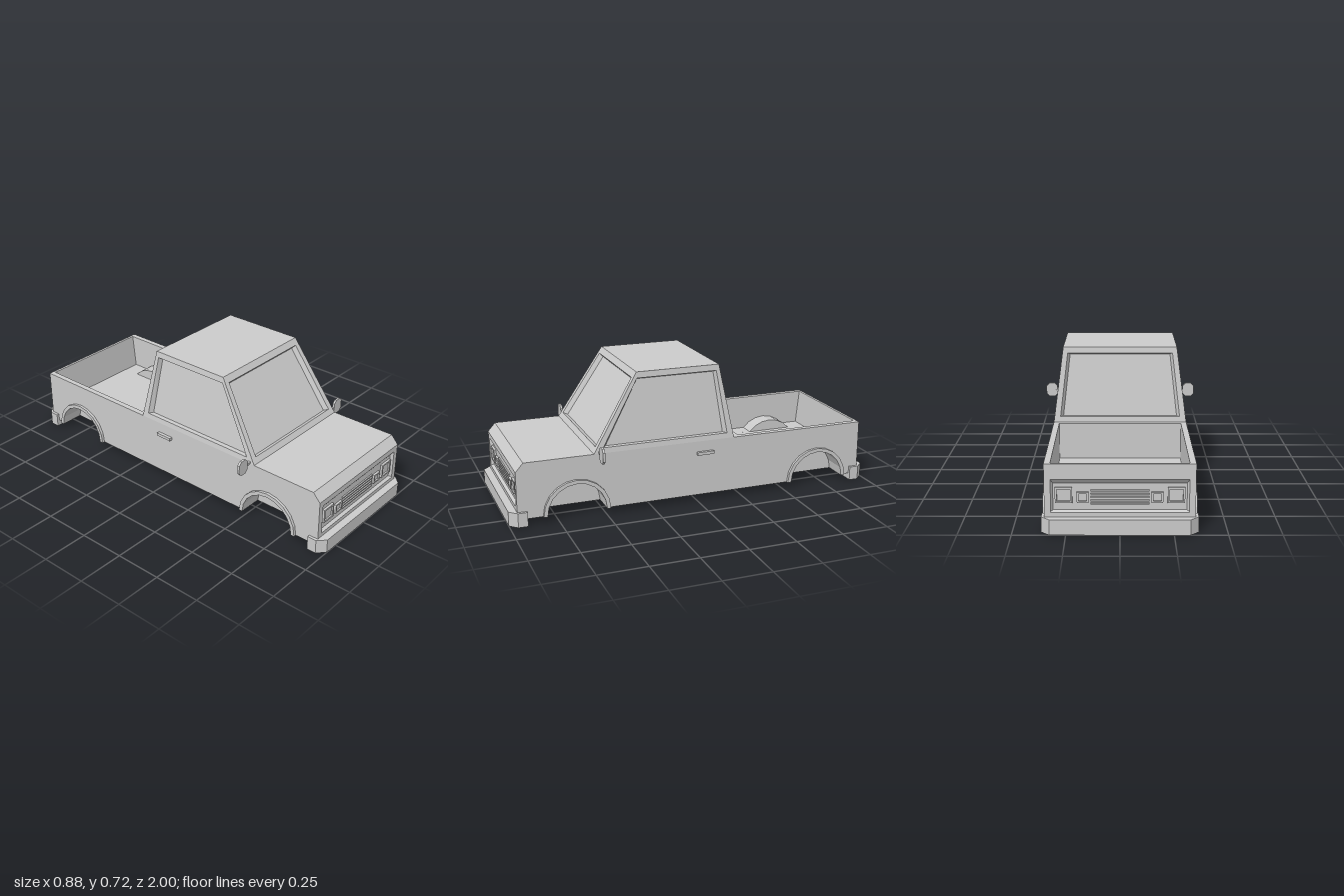
import * as THREE from 'three';

const material = new THREE.MeshStandardMaterial({ color: 0xcccccc, flatShading: true, side: THREE.DoubleSide });
const SILL = 0.035, FRONT_AXLE = 0.655, REAR_AXLE = -0.7, ARCH = 0.155;

function add(parent, name, geometry, x = 0, y = 0, z = 0) {
  const mesh = new THREE.Mesh(geometry, material);
  mesh.name = name;
  mesh.position.set(x, y, z);
  parent.add(mesh);
  return mesh;
}

// Extrude a [z, y] outline along x, from x0 to x1
function extrudeX(points, x0, x1) {
  const shape = new THREE.Shape(points.map(([z, y]) => new THREE.Vector2(-z, y)));
  return new THREE.ExtrudeGeometry(shape, { depth: x1 - x0, bevelEnabled: false })
    .rotateY(Math.PI / 2).translate(x0, 0, 0);
}

// Points of an arc about an axle, as [z, y]
function arc(centre, radius, from, to, steps = 10) {
  return Array.from({ length: steps + 1 }, (_, i) => {
    const a = from + (to - from) * i / steps;
    return [centre + radius * Math.cos(a), SILL + radius * Math.sin(a)];
  });
}

// Side profile of the body, optionally with wheel arches, bed, bed humps and end panel recesses
function bodyProfile({ arches, bed, hump, recess }) {
  const p = [[0.96, SILL]];
  if (arches) p.push(...arc(FRONT_AXLE, ARCH, 0, Math.PI), ...arc(REAR_AXLE, ARCH, 0, Math.PI));
  p.push([-0.96, SILL]);
  const notch = [[0.96, 0.095], [0.945, 0.105], [0.945, 0.235], [0.96, 0.255]];
  if (recess) p.push(...notch.map(([z, y]) => [-z, y]));
  p.push([-0.96, 0.33]);
  if (bed) {
    p.push([-0.945, 0.33], [-0.925, 0.14]);
    if (hump) p.push(...arc(REAR_AXLE, 0.165, Math.PI - 0.69, 0.69, 6));
    p.push([-0.24, 0.14], [-0.24, 0.33]);
  }
  p.push([0.92, 0.33], [0.96, 0.285]);
  if (recess) p.push(...notch.reverse());
  return p;
}

// Four-cornered cab face (bl, br, tr, tl from outside) with a sunken window
function windowFace(corners) {
  const [bl, br, tr, tl] = corners.map(c => new THREE.Vector3(...c));
  const normal = br.clone().sub(bl).cross(tl.clone().sub(bl)).normalize();
  const ring = (u, v0, v1, depth) => [[u, v0], [1 - u, v0], [1 - u, v1], [u, v1]].map(([s, t]) =>
    bl.clone().lerp(br, s).lerp(tl.clone().lerp(tr, s), t).addScaledVector(normal, -depth));
  const rings = [ring(0, 0, 1, 0), ring(0.045, 0.07, 0.92, 0), ring(0.066, 0.08, 0.905, 0.024)];
  const pos = [];
  const quad = (a, b, c, d) => [a, b, c, a, c, d].forEach(p => pos.push(p.x, p.y, p.z));
  for (let r = 0; r < 2; r++) {
    for (let i = 0; i < 4; i++) {
      const j = (i + 1) % 4;
      quad(rings[r][i], rings[r][j], rings[r + 1][j], rings[r + 1][i]);
    }
  }
  quad(...rings[2]);
  const g = new THREE.BufferGeometry();
  g.setAttribute('position', new THREE.Float32BufferAttribute(pos, 3));
  g.computeVertexNormals();
  return g;
}

// Square lamp: a raised rim around a sunken lens
function addLamp(parent, name, x, y, w, h, rim) {
  const rect = (Type, a, b) => new Type([[-a, -b], [a, -b], [a, b], [-a, b]].map(q => new THREE.Vector2(...q)));
  const shape = rect(THREE.Shape, w / 2, h / 2);
  shape.holes.push(rect(THREE.Path, w / 2 - rim, h / 2 - rim));
  add(parent, name + 'Rim', new THREE.ExtrudeGeometry(shape, { depth: 0.012, bevelEnabled: false }), x, y, 0.945);
  add(parent, name + 'Lens', new THREE.BoxGeometry(w - 2 * rim, h - 2 * rim, 0.004), x, y, 0.947);
}

// Lamps, slats and bumper, shared by the nose and the tail
function createEnd(name) {
  const end = new THREE.Group();
  end.name = name;
  for (const s of [-1, 1]) {
    addLamp(end, 'largeLamp', s * 0.26, 0.178, 0.08, 0.075, 0.009);
    addLamp(end, 'smallLamp', s * 0.172, 0.167, 0.054, 0.05, 0.008);
    const wedge = new THREE.Shape([[0, 0], [-s * 0.01, 0], [0, 0.015]].map(q => new THREE.Vector2(...q)));
    const bevel = new THREE.ExtrudeGeometry(wedge, { depth: 0.145, bevelEnabled: false })
      .rotateX(Math.PI / 2).scale(1, 1, 1);
    add(end, 'panelBevel', bevel, s * 0.32, 0.247, 0.945);
  }
  for (let i = 0; i < 5; i++) {
    add(end, 'grilleSlat', new THREE.BoxGeometry(0.27, 0.007, 0.008), 0, 0.135 + i * 0.016, 0.948);
  }
  const outline = [[-0.365, 0.91], [0.365, 0.91], [0.365, 0.96], [0.325, 1], [-0.325, 1], [-0.365, 0.96]];
  const bumper = new THREE.ExtrudeGeometry(
    new THREE.Shape(outline.map(([x, z]) => new THREE.Vector2(x, -z))), { depth: 0.075, bevelEnabled: false });
  add(end, 'bumper', bumper.rotateX(-Math.PI / 2));
  return end;
}

export function createModel() {
  const truck = new THREE.Group();
  truck.name = 'pickupTruck';

  // Lower body in slabs: centre, wheel wells, outer side walls
  const body = new THREE.Group();
  body.name = 'body';
  truck.add(body);
  add(body, 'bodyCentre', extrudeX(bodyProfile({ bed: true, recess: true }), -0.235, 0.235));
  for (const s of [-1, 1]) {
    const slab = (name, points, a, b) =>
      add(body, name, extrudeX(points, Math.min(s * a, s * b), Math.max(s * a, s * b)));
    slab('wheelWell', bodyProfile({ arches: true, bed: true, hump: true, recess: true }), 0.235, 0.32);
    slab('sideWall', bodyProfile({ arches: true }), 0.32, 0.35);
    slab('wellEnd', arc(REAR_AXLE, 0.165, 0.69, Math.PI - 0.69, 6), 0.23, 0.236);
    for (const axle of [FRONT_AXLE, REAR_AXLE]) {
      slab('archFlare', [...arc(axle, 0.175, 0, Math.PI), ...arc(axle, ARCH, Math.PI, 0)], 0.348, 0.365);
    }
    slab('doorHandle', [[0.005, 0.258], [0.005, 0.274], [-0.087, 0.274], [-0.087, 0.258]], 0.348, 0.367);
  }

  // Cab: four window faces and the roof
  const cab = new THREE.Group();
  cab.name = 'cab';
  truck.add(cab);
  const bfl = [0.35, 0.33, 0.56], bfr = [-0.35, 0.33, 0.56], brl = [0.35, 0.33, -0.205], brr = [-0.35, 0.33, -0.205];
  const tfl = [0.3, 0.72, 0.315], tfr = [-0.3, 0.72, 0.315], trl = [0.3, 0.72, -0.135], trr = [-0.3, 0.72, -0.135];
  add(cab, 'windshield', windowFace([bfr, bfl, tfl, tfr]));
  add(cab, 'rearWindow', windowFace([brl, brr, trr, trl]));
  add(cab, 'leftWindow', windowFace([bfl, brl, trl, tfl]));
  add(cab, 'rightWindow', windowFace([brr, bfr, tfr, trr]));
  add(cab, 'roof', new THREE.PlaneGeometry(0.6, 0.45).rotateX(-Math.PI / 2), 0, 0.72, 0.09);

  // Door mirrors: chamfered plate on a short arm
  const w = 0.033, h = 0.04, c = 0.017;
  const plate = new THREE.Shape([[-w, c - h], [c - w, -h], [w - c, -h], [w, c - h], [w, h - c], [w - c, h],
    [c - w, h], [-w, h - c]].map(q => new THREE.Vector2(...q)));
  for (const s of [-1, 1]) {
    add(truck, 'mirror', new THREE.ExtrudeGeometry(plate, { depth: 0.012, bevelEnabled: false }), s * 0.409, 0.338, 0.528);
    const arm = add(truck, 'mirrorArm', new THREE.BoxGeometry(0.055, 0.01, 0.012), s * 0.358, 0.336, 0.53);
    arm.rotation.z = -s * 0.12;
  }

  // Nose and tail
  const tail = createEnd('tail');
  tail.rotation.y = Math.PI;
  truck.add(createEnd('nose'), tail);
  return truck;
}
